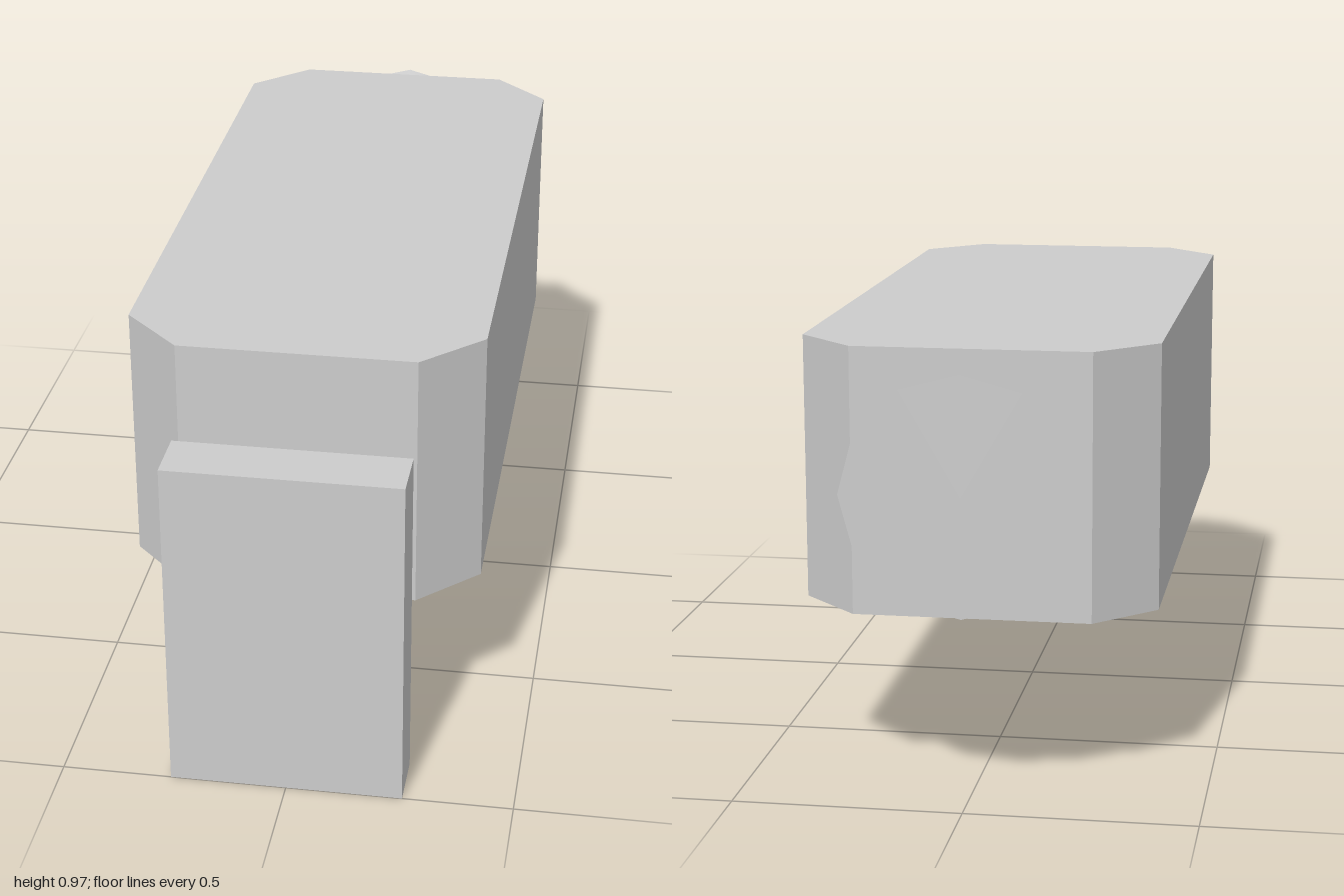
import * as THREE from 'three';

export function createModel() {
  const group = new THREE.Group();
  const grey = new THREE.MeshStandardMaterial({ color: 0xcccccc });
  grey.name = 'light grey';

  const add = (name, geometry, x, y, z) => {
    const mesh = new THREE.Mesh(geometry, grey);
    mesh.name = name;
    mesh.position.set(x, y, z);
    group.add(mesh);
  };

  // Long housing: a rectangle with cut corners, extruded upwards
  const w = 0.386, l = 0.842, cut = 0.129;
  const outline = new THREE.Shape([
    [w, -l + cut], [w, l - cut], [w - cut, l], [-w + cut, l],
    [-w, l - cut], [-w, -l + cut], [-w + cut, -l], [w - cut, -l],
  ].map(([x, y]) => new THREE.Vector2(x, y)));
  const housing = new THREE.ExtrudeGeometry(outline, { depth: 0.58, bevelEnabled: false });
  housing.rotateX(-Math.PI / 2);
  add('housing', housing, 0, 0.39, -0.032);

  // Flared round end at the back
  const flare = new THREE.CylinderGeometry(0.2235, 0.257, 0.126, 12);
  flare.rotateX(Math.PI / 2);
  add('flaredEnd', flare, 0, 0.681, -0.937);

  // Upright mounting plate at the front
  add('mountingPlate', new THREE.BoxGeometry(0.514, 0.777, 0.128), 0, 0.3885, 0.936);

  // Vertical pivot between plate and housing
  add('pivot', new THREE.CylinderGeometry(0.077, 0.077, 0.19, 8), 0, 0.425, 0.872);

  return group;
}
